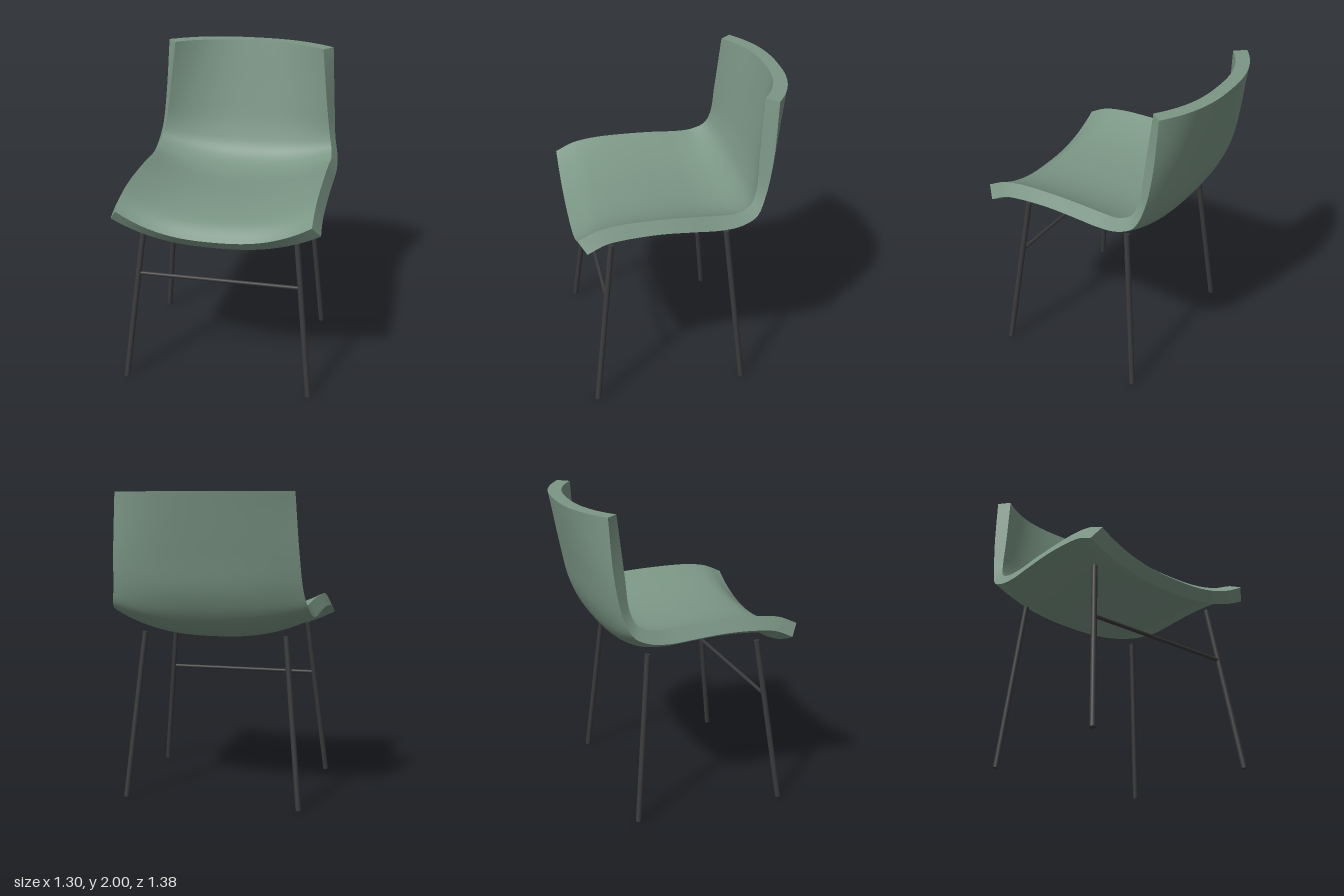
import * as THREE from 'three';
import { toCreasedNormals } from 'three/addons/utils/BufferGeometryUtils.js';

const shellGreen = new THREE.MeshStandardMaterial({ color: 0x7b9685 });
shellGreen.name = 'sage green';
const legDark = new THREE.MeshStandardMaterial({ color: 0x3a3a3c });
legDark.name = 'dark metal';

const guide = (pts) => new THREE.CatmullRomCurve3(pts.map((p) => new THREE.Vector3(...p)));

// Guide curves run from the top of the back down to the front lip.
const innerCentre = guide([
  [0, 2, -0.605], [0, 1.65, -0.535], [0, 1.4, -0.475], [0, 1.27, -0.42], [0, 1.2, -0.33], [0, 1.17, -0.2],
  [0, 1.175, 0], [0, 1.185, 0.2], [0, 1.18, 0.45], [0, 1.155, 0.59], [0, 1.08, 0.69],
]);
const outerCentre = guide([
  [0, 2, -0.69], [0, 1.63, -0.61], [0, 1.37, -0.545], [0, 1.2, -0.45], [0, 1.105, -0.33], [0, 1.075, -0.19],
  [0, 1.085, 0], [0, 1.095, 0.2], [0, 1.09, 0.43], [0, 1.07, 0.55], [0, 1.02, 0.64],
]);
const innerRim = guide([
  [0.505, 2, -0.455], [0.545, 1.65, -0.425], [0.575, 1.43, -0.405], [0.595, 1.345, -0.365], [0.605, 1.305, -0.28],
  [0.6, 1.3, -0.17], [0.6, 1.31, 0], [0.6, 1.315, 0.2], [0.6, 1.31, 0.42], [0.6, 1.285, 0.57], [0.6, 1.23, 0.69],
]);
const outerRim = guide([
  [0.565, 2, -0.525], [0.59, 1.63, -0.5], [0.61, 1.4, -0.455], [0.635, 1.285, -0.4], [0.645, 1.235, -0.3],
  [0.645, 1.22, -0.18], [0.645, 1.23, 0], [0.645, 1.24, 0.2], [0.645, 1.23, 0.41], [0.645, 1.21, 0.53], [0.65, 1.16, 0.64],
]);

// Padded shell: each section dips from rim to centre, inside then outside.
function shellGeometry(rows = 60, cols = 32) {
  const pos = [], index = [], n = cols + 1, loop = 2 * n;
  for (let i = 0; i <= rows; i++) {
    const s = i / rows;
    const addSide = (centre, rim, dir) => {
      const c = centre.getPoint(s), r = rim.getPoint(s);
      for (let j = 0; j <= cols; j++) {
        const t = dir * ((2 * j) / cols - 1), k = Math.abs(t) ** 2.5;
        pos.push(r.x * t, c.y + (r.y - c.y) * k, c.z + (r.z - c.z) * k);
      }
    };
    addSide(innerCentre, innerRim, 1);
    addSide(outerCentre, outerRim, -1);
  }
  for (let i = 0; i < rows; i++) {
    for (let j = 0; j < loop; j++) {
      const a = i * loop + j, c = i * loop + ((j + 1) % loop);
      index.push(a, a + loop, c, c, a + loop, c + loop);
    }
  }
  // Close the top edge and the front lip.
  const front = rows * loop;
  for (let j = 0; j < cols; j++) {
    const a = j, b = j + 1, c = loop - 1 - j, d = c - 1;
    index.push(a, b, c, b, d, c);
    index.push(front + a, front + c, front + b, front + b, front + c, front + d);
  }
  const g = new THREE.BufferGeometry();
  g.setAttribute('position', new THREE.Float32BufferAttribute(pos, 3));
  g.setIndex(index);
  return toCreasedNormals(g, 0.7);
}

// Round bar between two points.
function rod(name, from, to, radius) {
  const a = new THREE.Vector3(...from), b = new THREE.Vector3(...to);
  const dir = b.clone().sub(a);
  const mesh = new THREE.Mesh(new THREE.CylinderGeometry(radius, radius, dir.length(), 20), legDark);
  mesh.position.copy(a).add(b).multiplyScalar(0.5);
  mesh.quaternion.setFromUnitVectors(new THREE.Vector3(0, 1, 0), dir.normalize());
  mesh.name = name;
  return mesh;
}

export function createModel() {
  const chair = new THREE.Group();
  chair.name = 'chair';

  const shell = new THREE.Mesh(shellGeometry(), shellGreen);
  shell.name = 'seatShell';
  chair.add(shell);

  // Splayed legs
  for (const [side, label] of [[1, 'Left'], [-1, 'Right']]) {
    chair.add(rod('front' + label + 'Leg', [side * 0.605, 0.003, 0.616], [side * 0.482, 1.1, 0.475], 0.018));
    chair.add(rod('rear' + label + 'Leg', [side * 0.577, 0.003, -0.364], [side * 0.468, 1.1, -0.258], 0.018));
  }

  // Bar joining the front legs
  chair.add(rod('frontCrossbar', [-0.522, 0.735, 0.522], [0.522, 0.735, 0.522], 0.012));
  return chair;
}
